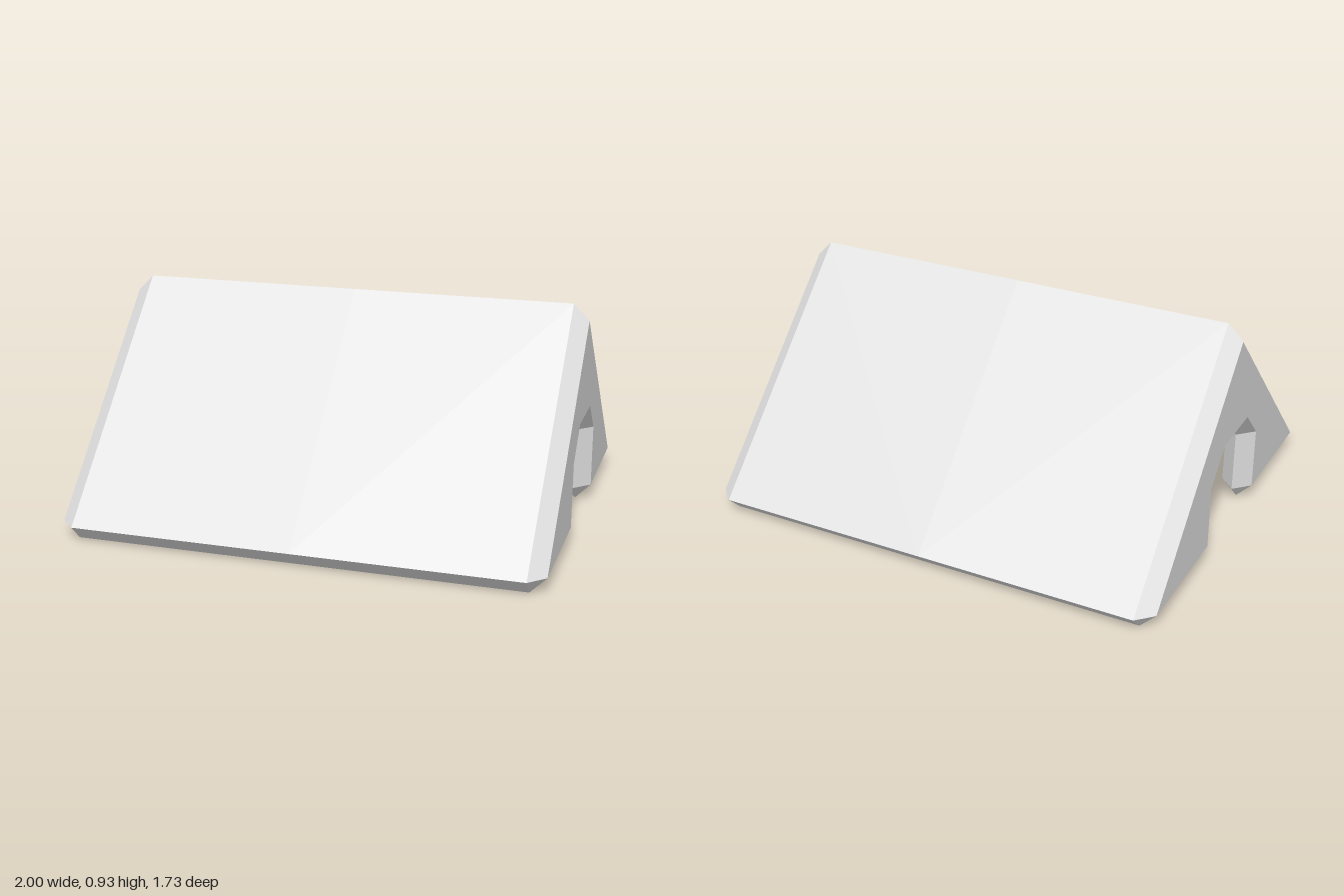
import * as THREE from 'three';

const U = 1 / 15; // every corner lies on this small grid

// Fan-triangulates quarter-model polygons and mirrors them into all four corners.
function quarterPart(name, polygons, material) {
  const positions = [];
  for (const sx of [1, -1]) {
    for (const sz of [1, -1]) {
      for (const poly of polygons) {
        for (let i = 1; i < poly.length - 1; i++) {
          const tri = [poly[0], poly[i], poly[i + 1]];
          if (sx * sz < 0) tri.reverse();
          for (const [x, y, z] of tri) positions.push(sx * x * U, y * U, sz * z * U);
        }
      }
    }
  }
  const geometry = new THREE.BufferGeometry();
  geometry.setAttribute('position', new THREE.Float32BufferAttribute(positions, 3));
  geometry.computeVertexNormals();
  const mesh = new THREE.Mesh(geometry, material);
  mesh.name = name;
  return mesh;
}

export function createModel() {
  const group = new THREE.Group();
  group.name = 'gabledShelter';
  const grey = new THREE.MeshStandardMaterial({ color: 0xdddddd });
  grey.name = 'light grey';
  const add = (name, polygons) => group.add(quarterPart(name, polygons, grey));

  // Outer roof slopes with bevelled ends
  add('roof', [
    [[0, 1, 13], [14, 1, 13], [14, 14, 0], [0, 14, 0]],
    [[14, 1, 13], [15, 1, 12], [15, 13, 0], [14, 14, 0]],
  ]);

  // Eaves: chamfer, corner and flat underside
  add('eaves', [
    [[0, 0, 12], [14, 0, 12], [14, 1, 13], [0, 1, 13]],
    [[14, 0, 12], [15, 1, 12], [14, 1, 13]],
    [[12, 0, 10], [14, 0, 8], [14, 0, 12], [0, 0, 12], [0, 0, 10]],
  ]);

  // Hollow inside: slopes and the slanted joint to each gable
  add('roofLining', [
    [[0, 0, 10], [0, 10, 0], [12, 10, 0], [12, 0, 10]],
    [[12, 0, 10], [12, 10, 0], [13, 9, 0], [13, 1, 8], [14, 0, 8]],
  ]);

  // Gable walls, outside and inside, with bevelled feet
  add('gableWalls', [
    [[15, 7, 2], [15, 7, 0], [15, 13, 0], [15, 1, 12], [15, 5, 4]],
    [[15, 5, 4], [15, 1, 12], [15, 1, 4]],
    [[13, 7, 0], [13, 7, 2], [13, 9, 0]],
    [[13, 1, 4], [13, 1, 8], [13, 5, 4]],
    [[14, 0, 12], [14, 0, 4], [15, 1, 4], [15, 1, 12]],
    [[14, 0, 4], [14, 0, 8], [13, 1, 8], [13, 1, 4]],
  ]);

  // Doorway bevels: from each wall face to the narrow edge in the middle
  const wall = [[1, 4], [5, 4], [7, 2], [7, 0]];
  const edge = [[1, 3], [5, 3], [6, 2], [6, 0]];
  const doorway = [
    [[15, 1, 4], [14, 0, 4], [14, 1, 3]],
    [[13, 1, 4], [14, 1, 3], [14, 0, 4]],
  ];
  for (let i = 0; i < wall.length - 1; i++) {
    const bevel = (x) => [[x, ...wall[i]], [14, ...edge[i]], [14, ...edge[i + 1]], [x, ...wall[i + 1]]];
    doorway.push(bevel(15), bevel(13).reverse());
  }
  add('doorways', doorway);

  return group;
}
